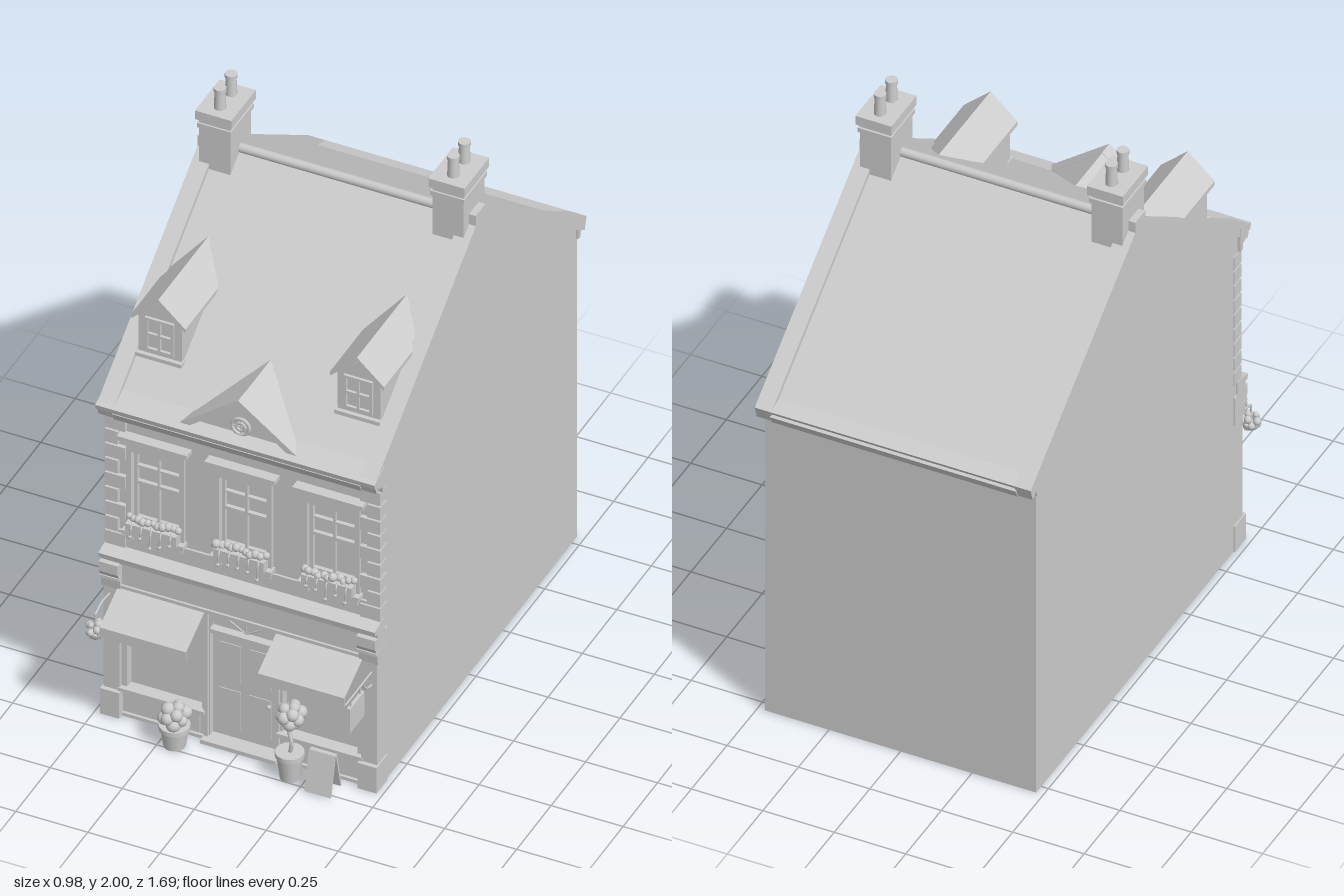
import * as THREE from 'three';

export function createModel() {
  const root = new THREE.Group();
  root.name = 'townhouse';
  const stone = new THREE.MeshStandardMaterial({ color: 0xcccccc });
  stone.name = 'plain grey';
  stone.side = THREE.DoubleSide;

  const add = (name, geo, parent = root) => {
    const m = new THREE.Mesh(geo, stone);
    m.name = name;
    parent.add(m);
    return m;
  };
  // box given by its limits
  const box = (name, x0, x1, y0, y1, z0, z1, parent) => add(name,
    new THREE.BoxGeometry(x1 - x0, y1 - y0, z1 - z0)
      .translate((x0 + x1) / 2, (y0 + y1) / 2, (z0 + z1) / 2), parent);
  const poly = pts => new THREE.Shape(pts.map(p => new THREE.Vector2(p[0], p[1])));
  // profile of [z, y] points swept along x
  const sweepX = (name, pts, x0, x1, parent) => add(name,
    new THREE.ExtrudeGeometry(poly(pts), { depth: x1 - x0, bevelEnabled: false })
      .rotateY(-Math.PI / 2).translate(x1, 0, 0), parent);
  // shape of [x, y] points swept along z
  const sweepZ = (name, shape, z0, z1, parent) => add(name,
    new THREE.ExtrudeGeometry(shape, { depth: z1 - z0, bevelEnabled: false, curveSegments: 16 })
      .translate(0, 0, z0), parent);
  const rect = (x0, x1, y0, y1) => poly([[x0, y0], [x1, y0], [x1, y1], [x0, y1]]);
  const cyl = (name, r1, r0, x, y0, y1, z, parent, n = 16) => add(name,
    new THREE.CylinderGeometry(r1, r0, y1 - y0, n).translate(x, (y0 + y1) / 2, z), parent);
  const tube = (name, pts, r, parent) => add(name, new THREE.TubeGeometry(
    new THREE.CatmullRomCurve3(pts.map(p => new THREE.Vector3(...p))), 12, r, 6), parent);
  const group = name => { const g = new THREE.Group(); g.name = name; root.add(g); return g; };
  let seed = 7;
  const rnd = () => (seed = (seed * 16807) % 2147483647) / 2147483647;
  // cluster of leafy balls
  const clump = (name, x, y, z, r, n, ball, parent) => {
    for (let i = 0; i < n; i++) {
      const v = 1 - 2 * (i + 0.5) / n, a = i * 2.4, s = Math.sqrt(1 - v * v);
      add(name, new THREE.SphereGeometry(ball * (0.85 + 0.3 * rnd()), 10, 7)
        .translate(x + r * s * Math.cos(a), y + r * v, z + r * s * Math.sin(a)), parent);
    }
  };

  // shell
  const gable = [[0.64, 0], [0.64, 1.24], [-0.07, 1.735], [-0.785, 1.24], [-0.785, 0]];
  sweepX('sideWall', gable, 0.455, 0.475);
  sweepX('sideWall', gable, -0.475, -0.455);
  box('backWall', -0.475, 0.475, 0, 1.24, -0.785, -0.765);
  box('floor', -0.46, 0.46, 0, 0.012, -0.45, 0.66);
  box('partition', -0.456, 0.456, 0, 0.62, -0.46, -0.45);
  box('ceiling', -0.456, 0.456, 0.61, 0.62, -0.765, 0.62);
  box('doorStep', -0.13, 0.13, 0, 0.015, 0.62, 0.685);

  // roof, raised gable copings, ridge and eaves
  const chevron = (drop, thick) => [[0.7, 1.23 - drop], [-0.07, 1.77 - drop], [-0.84, 1.23 - drop],
    [-0.825, 1.23 - drop - thick], [-0.07, 1.77 - drop - thick * 1.2], [0.685, 1.23 - drop - thick]];
  sweepX('roof', chevron(0.02, 0.03), -0.43, 0.43);
  for (const s of [-1, 1]) {
    const a = s > 0 ? 0.425 : -0.483, b = a + 0.058;
    sweepX('gableCoping', chevron(0, 0.045), a, b);
    box('copingSaddle', a, b, 1.745, 1.785, -0.105, -0.035);
  }
  add('ridge', new THREE.CylinderGeometry(0.016, 0.016, 0.9, 12).rotateZ(Math.PI / 2).translate(0, 1.757, -0.07));
  sweepX('backEaves', [[-0.78, 1.18], [-0.795, 1.18], [-0.8, 1.2], [-0.825, 1.205], [-0.84, 1.23], [-0.78, 1.25]], -0.483, 0.483);
  sweepX('frontCornice', [[0.63, 1.165], [0.645, 1.165], [0.65, 1.19], [0.675, 1.195], [0.68, 1.208], [0.7, 1.213], [0.705, 1.232], [0.63, 1.26]], -0.485, 0.485);
  for (let i = 0; i < 46; i++) {
    const x = -0.45 + i * 0.02;
    box('dentil', x - 0.006, x + 0.006, 1.17, 1.19, 0.64, 0.667);
  }

  // chimneys
  for (const s of [-1, 1]) {
    const g = group('chimney'), x = s * 0.405;
    box('stack', x - 0.054, x + 0.054, 1.69, 1.9, -0.148, 0.004, g);
    box('collar', x - 0.059, x + 0.059, 1.855, 1.872, -0.156, 0.01, g);
    box('cap', x - 0.063, x + 0.063, 1.888, 1.922, -0.163, 0.015, g);
    for (const z of [-0.115, -0.035]) {
      cyl('pot', 0.017, 0.02, x, 1.92, 1.99, z, g);
      cyl('potRim', 0.02, 0.02, x, 1.985, 2.0, z, g);
    }
  }

  // dormers
  for (const s of [-1, 1]) {
    const g = group('dormer');
    g.position.x = s * 0.345;
    sweepZ('dormerBody', poly([[-0.075, 1.34], [0.075, 1.34], [0.075, 1.49], [0, 1.55], [-0.075, 1.49]]), 0.2, 0.525, g);
    for (const k of [-1, 1]) {
      // roof leaf cut along the slope of the main roof
      const leaf = [[0, 1.578, 0.54], [k * 0.094, 1.492, 0.54], [k * 0.094, 1.492, 0.3], [0, 1.578, 0.17]];
      const p = [];
      for (const d of [0, -0.016]) for (const c of leaf) p.push(c[0], c[1] + d, c[2]);
      const geo = new THREE.BufferGeometry();
      geo.setAttribute('position', new THREE.Float32BufferAttribute(p, 3));
      const id = [0, 1, 2, 0, 2, 3, 4, 6, 5, 4, 7, 6, 0, 4, 5, 0, 5, 1, 1, 5, 6, 1, 6, 2];
      if (k < 0) id.reverse();
      geo.setIndex(id);
      const flat = geo.toNonIndexed();
      flat.computeVertexNormals();
      add('dormerRoof', flat, g);
    }
    const frame = rect(-0.05, 0.05, 1.36, 1.49);
    for (const x of [-0.04, 0.004]) for (const y of [1.372, 1.431]) frame.holes.push(rect(x, x + 0.036, y, y + 0.05));
    sweepZ('dormerWindow', frame, 0.525, 0.535, g);
    box('dormerSill', -0.08, 0.08, 1.333, 1.347, 0.5, 0.54, g);
  }

  // pediment with round window
  const ped = group('pediment');
  sweepZ('pedimentFace', poly([[-0.18, 1.235], [0.18, 1.235], [0, 1.37]]), 0.63, 0.66, ped);
  for (const k of [-1, 1]) {
    const bar = [[0, 1.392], [k * 0.21, 1.235], [k * 0.175, 1.235], [0, 1.366]];
    sweepZ('rakingCornice', poly(bar), 0.63, 0.682, ped);
    const roof = new THREE.BufferGeometry();
    roof.setAttribute('position', new THREE.Float32BufferAttribute(
      [0, 1.39, 0.64, k * 0.2, 1.24, 0.64, 0, 1.39, 0.43, 0, 1.39, 0.43, k * 0.2, 1.24, 0.64, k * 0.2, 1.23, 0.63], 3));
    if (k < 0) roof.setIndex([0, 2, 1, 3, 5, 4]);
    roof.computeVertexNormals();
    add('pedimentRoof', roof, ped);
  }
  add('oculusRing', new THREE.TorusGeometry(0.03, 0.006, 8, 24).translate(0, 1.277, 0.662), ped);
  add('oculusBoss', new THREE.TorusGeometry(0.014, 0.005, 8, 16).translate(0, 1.277, 0.662), ped);
  box('oculusBar', -0.028, 0.028, 1.275, 1.279, 0.66, 0.665, ped);
  box('oculusBar', -0.002, 0.002, 1.249, 1.305, 0.66, 0.665, ped);

  // upper wall, quoins and windows
  const upper = rect(-0.465, 0.465, 0.62, 1.2);
  const centres = [-0.305, 0, 0.305];
  for (const x of centres) upper.holes.push(rect(x - 0.085, x + 0.085, 0.76, 1.04));
  sweepZ('upperWall', upper, 0.605, 0.635);
  for (const s of [-1, 1]) for (let i = 0; i < 9; i++) {
    const w = i % 2 ? 0.045 : 0.07, y = 0.655 + i * 0.057;
    box('quoin', Math.min(s * 0.478, s * (0.478 - w)), Math.max(s * 0.478, s * (0.478 - w)), y, y + 0.05, 0.6, 0.65);
  }
  box('sillBand', -0.476, 0.476, 0.65, 0.715, 0.62, 0.643);
  for (const x of centres) {
    const g = group('upperWindow');
    g.position.x = x;
    box('glass', -0.09, 0.09, 0.75, 1.05, 0.6, 0.608, g);
    const sash = rect(-0.085, 0.085, 0.76, 1.04);
    for (const px of [-0.073, 0.004]) {
      sash.holes.push(rect(px, px + 0.069, 0.772, 0.9));
      sash.holes.push(rect(px, px + 0.069, 0.912, 0.968), rect(px, px + 0.069, 0.974, 1.028));
    }
    sweepZ('sash', sash, 0.608, 0.622, g);
    const trim = rect(-0.1, 0.1, 0.72, 1.09);
    trim.holes.push(rect(-0.083, 0.083, 0.76, 1.038));
    sweepZ('surround', trim, 0.63, 0.647, g);
    box('lintelStep', -0.113, 0.113, 1.078, 1.092, 0.63, 0.66, g);
    box('lintel', -0.122, 0.122, 1.09, 1.106, 0.63, 0.672, g);
    box('sill', -0.107, 0.107, 0.722, 0.738, 0.63, 0.668, g);
    for (const k of [-0.085, 0.085]) box('sillBracket', k - 0.012, k + 0.012, 0.7, 0.722, 0.63, 0.658, g);
    box('planter', -0.088, 0.088, 0.738, 0.778, 0.64, 0.68, g);
    for (let i = 0; i < 11; i++) {
      const fx = -0.085 + i * 0.017;
      add('flower', new THREE.SphereGeometry(0.011 + 0.005 * rnd(), 8, 6)
        .translate(fx, 0.782 + 0.012 * rnd(), 0.66 + 0.02 * (rnd() - 0.5)), g);
      if (i % 2) {
        const len = 0.03 + 0.04 * rnd();
        tube('trailingStem', [[fx, 0.78, 0.672], [fx + 0.004, 0.77, 0.688], [fx, 0.78 - len, 0.688]], 0.003, g);
        add('trailingFlower', new THREE.SphereGeometry(0.007, 8, 6).translate(fx, 0.78 - len, 0.688), g);
      }
    }
  }

  // shop front
  sweepX('shopCornice', [[0.62, 0.605], [0.672, 0.605], [0.675, 0.622], [0.69, 0.627], [0.693, 0.642], [0.64, 0.655], [0.62, 0.655]], -0.48, 0.48);
  box('fascia', -0.42, 0.42, 0.515, 0.61, 0.62, 0.66);
  box('fasciaBead', -0.42, 0.42, 0.505, 0.518, 0.62, 0.668);
  const front = rect(-0.425, 0.425, 0, 0.515);
  for (const s of [-1, 1]) front.holes.push(rect(Math.min(s * 0.14, s * 0.4), Math.max(s * 0.14, s * 0.4), 0.11, 0.5));
  const doorway = new THREE.Path();
  doorway.moveTo(-0.113, 0.012).lineTo(0.113, 0.012).lineTo(0.113, 0.435);
  doorway.absellipse(0, 0.435, 0.113, 0.068, 0, Math.PI, false).lineTo(-0.113, 0.012);
  front.holes.push(doorway);
  sweepZ('shopFront', front, 0.62, 0.65);
  box('shopGlass', -0.42, 0.42, 0.05, 0.51, 0.612, 0.62);
  for (const s of [-1, 1]) {
    const g = group('shopPilaster');
    g.position.x = s * 0.447;
    box('shaft', -0.028, 0.028, 0, 0.51, 0.6, 0.665, g);
    box('base', -0.033, 0.033, 0, 0.1, 0.6, 0.68, g);
    sweepX('console', [[0.6, 0.5], [0.67, 0.5], [0.675, 0.54], [0.69, 0.57], [0.69, 0.607], [0.6, 0.607]], -0.033, 0.033, g);
    box('consoleBead', -0.034, 0.034, 0.542, 0.553, 0.6, 0.686, g);
    const a = Math.min(s * 0.125, s * 0.425), b = a + 0.3;
    box('stallRiser', a + 0.02, b - 0.02, 0.02, 0.09, 0.64, 0.657);
    box('windowSill', a, b, 0.098, 0.112, 0.63, 0.668);
    sweepX('awning', [[0.65, 0.515], [0.8, 0.44], [0.8, 0.402], [0.796, 0.402], [0.796, 0.436], [0.65, 0.508]], a, b);
    box('doorPost', Math.min(s * 0.116, s * 0.13), Math.max(s * 0.116, s * 0.13), 0, 0.505, 0.64, 0.66);
  }

  // door and fanlight
  const door = group('door');
  box('leaf', -0.112, 0.112, 0.012, 0.418, 0.618, 0.628, door);
  box('transom', -0.113, 0.113, 0.416, 0.432, 0.62, 0.648, door);
  for (const y of [0.05, 0.23]) for (const x of [-0.09, 0.015])
    box('doorPanel', x, x + 0.075, y, y + 0.15, 0.628, 0.631, door);
  for (const a of [0.25, 0.5, 0.75]) {
    const t = a * Math.PI;
    tube('fanBar', [[0, 0.432, 0.624], [0.11 * Math.cos(t), 0.433 + 0.066 * Math.sin(t), 0.624]], 0.003, door);
  }
  add('knob', new THREE.SphereGeometry(0.008, 10, 8).translate(0.085, 0.18, 0.636), door);

  // pots by the door
  const bush = group('pottedBush');
  cyl('pot', 0.046, 0.036, -0.2, 0, 0.07, 0.725, bush);
  cyl('potRim', 0.051, 0.051, -0.2, 0.066, 0.082, 0.725, bush);
  clump('foliage', -0.2, 0.118, 0.725, 0.034, 14, 0.021, bush);
  const tree = group('topiary');
  cyl('pot', 0.043, 0.032, 0.198, 0, 0.088, 0.72, tree);
  cyl('potRim', 0.047, 0.047, 0.198, 0.085, 0.102, 0.72, tree);
  tube('trunk', [[0.198, 0.09, 0.72], [0.206, 0.14, 0.724], [0.194, 0.18, 0.716], [0.2, 0.24, 0.72]], 0.007, tree);
  clump('foliage', 0.2, 0.247, 0.718, 0.032, 14, 0.021, tree);

  // pavement board
  const board = group('pavementBoard');
  for (const k of [-1, 1]) {
    const p = box('boardPanel', -0.045, 0.045, -0.146, 0, -0.004, 0.004, board);
    p.position.set(0.318, 0.146, 0.73 + k * 0.004);
    p.rotation.x = -k * 0.23;
  }

  // hanging basket
  const basket = group('hangingBasket');
  tube('bracket', [[-0.455, 0.47, 0.66], [-0.455, 0.475, 0.72], [-0.455, 0.46, 0.765]], 0.004, basket);
  cyl('chain', 0.003, 0.003, -0.455, 0.4, 0.46, 0.765, basket, 6);
  add('bowl', new THREE.SphereGeometry(0.03, 14, 6, 0, Math.PI * 2, Math.PI / 2, Math.PI / 2).translate(-0.455, 0.395, 0.765), basket);
  clump('flowers', -0.455, 0.4, 0.765, 0.024, 12, 0.012, basket);

  // hanging sign
  const sign = group('hangingSign');
  tube('rod', [[0.455, 0.46, 0.66], [0.455, 0.46, 0.85]], 0.004, sign);
  tube('scroll', [[0.455, 0.41, 0.665], [0.455, 0.42, 0.7], [0.455, 0.455, 0.73]], 0.004, sign);
  for (const z of [0.745, 0.815]) cyl('hanger', 0.002, 0.002, 0.455, 0.42, 0.46, z, sign, 6);
  box('signBoard', 0.449, 0.461, 0.335, 0.43, 0.728, 0.832, sign);
  return root;
}
